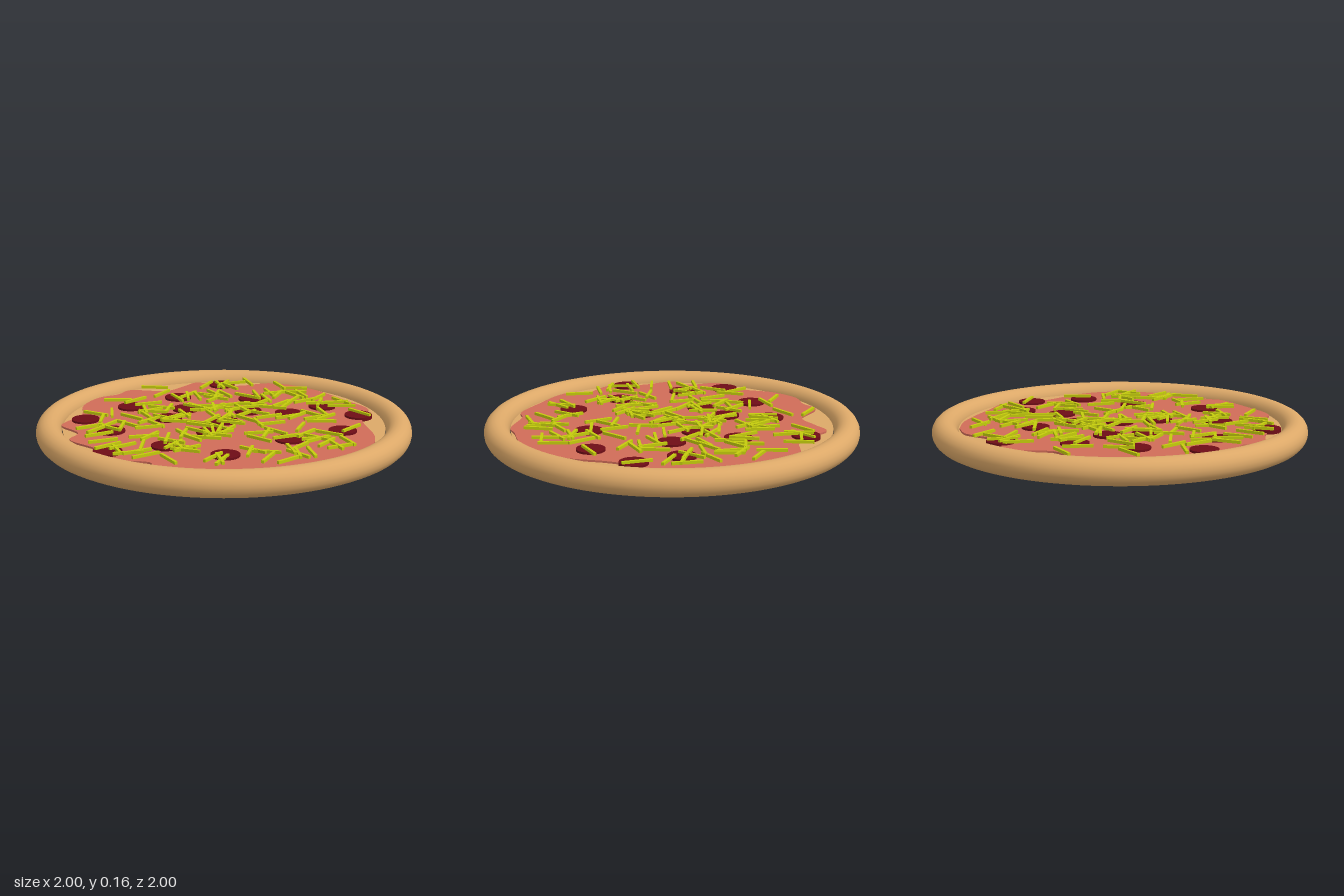
import * as THREE from 'three';

const material = (color) => new THREE.MeshStandardMaterial({ color });

export function createModel() {
  const pizza = new THREE.Group();
  pizza.name = 'pizza';
  const add = (name, geometry, mat, parent = pizza) => {
    const mesh = new THREE.Mesh(geometry, mat);
    mesh.name = name;
    parent.add(mesh);
    return mesh;
  };
  const dough = material(0xdca868);

  // Dough disc and the raised rim around it
  add('base', new THREE.CylinderGeometry(0.86, 0.86, 0.1, 96).translate(0, 0.05, 0), dough);
  add('crust', new THREE.TorusGeometry(0.932, 0.068, 20, 100).rotateX(Math.PI / 2).translate(0, 0.088, 0), dough);

  // Sauce: a thin slab with a wavy edge, listed as x, z around the rim
  const edge = [
    [-0.08, -0.85], [-0.21, -0.81], [-0.31, -0.68], [-0.42, -0.62], [-0.57, -0.6], [-0.59, -0.48],
    [-0.62, -0.34], [-0.8, -0.25], [-0.81, -0.13], [-0.86, -0.01], [-0.83, 0.16], [-0.73, 0.3],
    [-0.71, 0.46], [-0.68, 0.53], [-0.53, 0.58], [-0.49, 0.7], [-0.29, 0.74], [-0.18, 0.83],
    [-0.07, 0.82], [0.06, 0.77], [0.14, 0.83], [0.25, 0.81], [0.38, 0.74], [0.57, 0.63],
    [0.62, 0.53], [0.76, 0.4], [0.79, 0.3], [0.85, 0.13], [0.855, -0.05], [0.79, -0.21],
    [0.65, -0.37], [0.57, -0.5], [0.54, -0.64], [0.35, -0.73], [0.19, -0.8], [0.06, -0.84],
  ].map(([x, z]) => new THREE.Vector2(x, -z));
  const outline = new THREE.Shape();
  outline.moveTo(edge[0].x, edge[0].y);
  outline.splineThru([...edge.slice(1), edge[0]]);
  const slab = new THREE.ExtrudeGeometry(outline, { depth: 0.01, bevelEnabled: false, curveSegments: 4 });
  add('sauce', slab.rotateX(-Math.PI / 2).translate(0, 0.1, 0), material(0xd06c58));

  // Sausage slices
  const slices = new THREE.Group();
  slices.name = 'sausageSlices';
  pizza.add(slices);
  const sliceGeometry = new THREE.CylinderGeometry(0.074, 0.074, 0.02, 32);
  const sliceMaterial = material(0x6e0c16);
  [
    [0, 0], [0.01, -0.23], [0.05, 0.21], [-0.3, -0.08], [-0.28, 0.12], [-0.1, -0.45],
    [0.22, -0.31], [0.31, -0.53], [0.56, -0.48], [0.62, -0.18], [0.46, 0.1], [0.32, 0.49],
    [-0.01, 0.53], [-0.2, 0.76], [-0.4, 0.47], [-0.64, 0.38], [-0.58, 0.05], [-0.47, -0.25],
    [-0.41, -0.62],
  ].forEach(([x, z]) => add('sausageSlice', sliceGeometry, sliceMaterial, slices).position.set(x, 0.111, z));

  // Grated cheese strips scattered over the top
  const cheese = new THREE.Group();
  cheese.name = 'cheese';
  pizza.add(cheese);
  let seed = 11;
  const random = () => (seed = (seed * 16807) % 2147483647) / 2147483647;
  for (let i = 0; i < 30; i++) random();
  const stripGeometry = new THREE.BoxGeometry(0.155, 0.015, 0.015);
  const stripMaterial = material(0xc4cc0c);
  for (let i = 0; i < 165; i++) {
    const radius = 0.77 * Math.pow(random(), 0.58);
    const angle = random() * Math.PI * 2;
    const strip = add('cheeseStrip', stripGeometry, stripMaterial, cheese);
    strip.position.set(radius * Math.cos(angle), 0.124 + 0.006 * random(), radius * Math.sin(angle));
    strip.rotation.y = random() * Math.PI;
  }
  return pizza;
}
